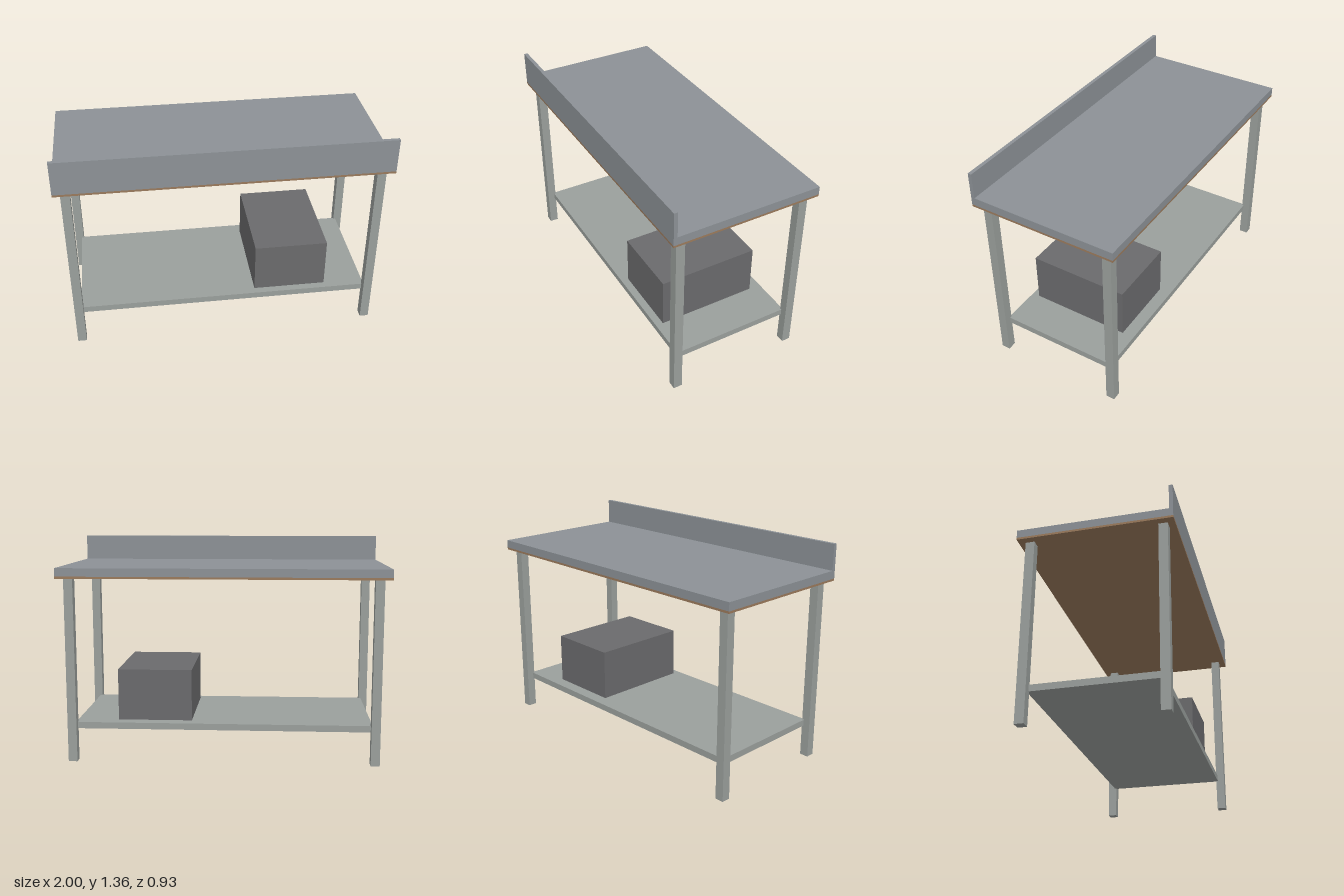
import * as THREE from 'three';

const material = (color) => new THREE.MeshStandardMaterial({ color });

// Box given by its lower and upper bounds on each axis
function block(name, [x0, x1], [y0, y1], [z0, z1], mat) {
  const mesh = new THREE.Mesh(new THREE.BoxGeometry(x1 - x0, y1 - y0, z1 - z0), mat);
  mesh.position.set((x0 + x1) / 2, (y0 + y1) / 2, (z0 + z1) / 2);
  mesh.name = name;
  return mesh;
}

export function createModel() {
  const table = new THREE.Group();
  table.name = 'workTable';

  const steel = material(0x8c9196);
  const frame = material(0x9a9f9c);
  const wood = material(0x9a7a5c);
  const dark = material(0x6a6a6c);

  // Worktop with a wooden core board beneath and an upstand along one long edge
  table.add(
    block('worktop', [-1, 1], [1.15, 1.2], [-0.465, 0.465], steel),
    block('coreBoard', [-1, 1], [1.137, 1.15], [-0.465, 0.465], wood),
    block('upstand', [-1, 1], [1.2, 1.36], [0.442, 0.465], steel),
  );

  // Four square legs, mirrored in x and z
  for (const [sx, side] of [[1, 'Left'], [-1, 'Right']]) {
    for (const [sz, end] of [[1, 'front'], [-1, 'back']]) {
      const x = sx * 0.93, z = sz * 0.397, h = 0.0275;
      table.add(block(`${end}${side}Leg`, [x - h, x + h], [0, 1.137], [z - h, z + h], frame));
    }
  }

  // Lower shelf, let slightly into the legs
  table.add(block('lowerShelf', [-0.915, 0.915], [0.2, 0.24], [-0.38, 0.38], frame));

  // Storage box standing on the shelf
  table.add(block('storageBox', [0.2, 0.66], [0.24, 0.56], [-0.303, 0.333], dark));

  return table;
}
